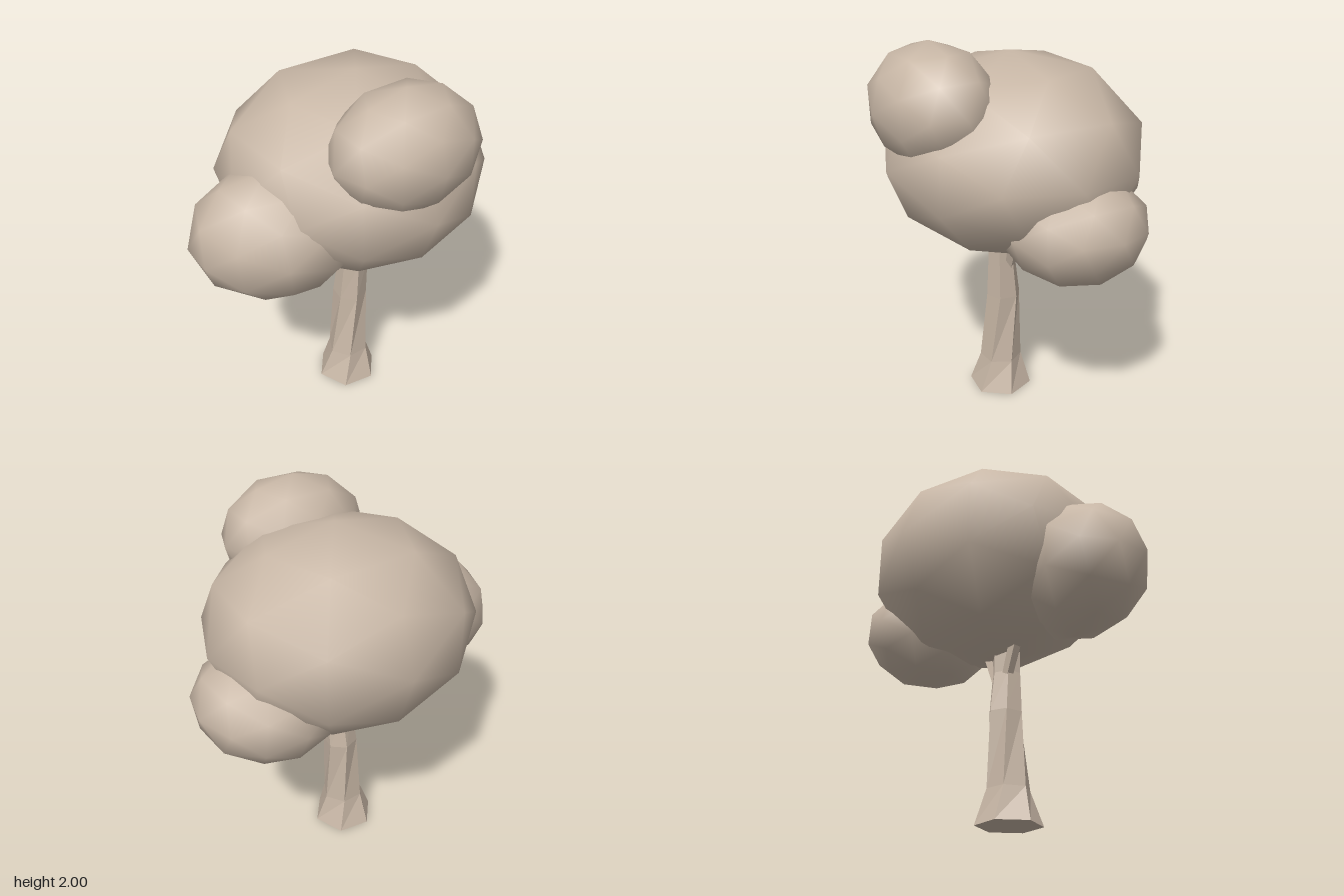
import * as THREE from 'three';
import { mergeVertices } from 'three/addons/utils/BufferGeometryUtils.js';

const clay = new THREE.MeshStandardMaterial({ color: 0xc8b7a6 });
clay.name = 'warm clay';
const bark = clay.clone();
bark.name = 'warm clay faceted';
bark.flatShading = true;

// Low-poly leaf clump with smooth normals; taper narrows it towards +z
function clump(name, center, radii, tilt, taper = 0) {
  let geo = new THREE.IcosahedronGeometry(1, 1);
  geo.deleteAttribute('normal');
  geo.deleteAttribute('uv');
  geo = mergeVertices(geo, 1e-4);
  const p = geo.attributes.position;
  for (let i = 0; i < p.count; i++) {
    const k = 1 - taper * p.getZ(i);
    p.setXY(i, p.getX(i) * k, p.getY(i) * k);
  }
  geo.scale(...radii);
  geo.rotateX(tilt[0]).rotateY(tilt[1]).rotateZ(tilt[2]);
  geo.translate(...center);
  geo.computeVertexNormals();
  const mesh = new THREE.Mesh(geo, clay);
  mesh.name = name;
  return mesh;
}

// Faceted limb lofted through rings of [x, y, z, radiusX, radiusZ, twist]
function limb(name, rings, sides) {
  const pos = [], index = [];
  for (const [x, y, z, rx, rz, twist] of rings) {
    for (let i = 0; i < sides; i++) {
      const a = (i / sides) * Math.PI * 2 + twist;
      pos.push(x + Math.cos(a) * rx, y, z + Math.sin(a) * rz);
    }
  }
  for (let r = 0; r < rings.length - 1; r++) {
    for (let i = 0; i < sides; i++) {
      const a = r * sides + i, b = r * sides + ((i + 1) % sides);
      index.push(a, a + sides, b, b, a + sides, b + sides);
    }
  }
  // End caps
  const top = (rings.length - 1) * sides;
  for (let i = 1; i < sides - 1; i++) {
    index.push(0, i, i + 1, top, top + i + 1, top + i);
  }
  const geo = new THREE.BufferGeometry();
  geo.setAttribute('position', new THREE.Float32BufferAttribute(pos, 3));
  geo.setIndex(index);
  geo.computeVertexNormals();
  const mesh = new THREE.Mesh(geo, bark);
  mesh.name = name;
  return mesh;
}

export function createModel() {
  const tree = new THREE.Group();
  tree.name = 'tree';

  // Trunk flares at the foot, twists and leans slightly towards +x
  tree.add(limb('trunk', [
    [0.005, 0.0, 0.0, 0.17, 0.172, 0],
    [0.01, 0.18, 0.0, 0.114, 0.113, -0.19],
    [0.027, 0.58, -0.008, 0.092, 0.093, -0.5],
    [0.038, 0.8, 0.006, 0.083, 0.075, -0.5],
    [0.04, 0.97, 0.006, 0.083, 0.075, -0.5],
  ], 6));

  // Short branches reaching into the crown
  for (const [name, side] of [['rightBranch', -1], ['leftBranch', 1]]) {
    tree.add(limb(name, [
      [0.04 + side * 0.04, 0.76, -0.02, 0.03, 0.03, 0],
      [0.04 + side * 0.11, 0.93, -0.02, 0.035, 0.035, 0],
      [0.04 + side * 0.13, 0.97, -0.02, 0.035, 0.035, 0],
    ], 5));
  }

  // Crown
  tree.add(clump('mainCrown', [0.063, 1.402, -0.025], [0.7, 0.517, 0.668], [0, 0.12, 0], 0.09));
  tree.add(clump('rightClump', [-0.435, 1.24, 0.115], [0.445, 0.347, 0.345], [0, -0.25, 0.12]));
  tree.add(clump('leftClump', [0.51, 1.137, -0.185], [0.368, 0.285, 0.365], [0, 0.2, 0.12]));
  tree.add(clump('topClump', [0.1, 1.695, 0.385], [0.39, 0.306, 0.305], [0.03, 0.12, 0.03]));
  return tree;
}
